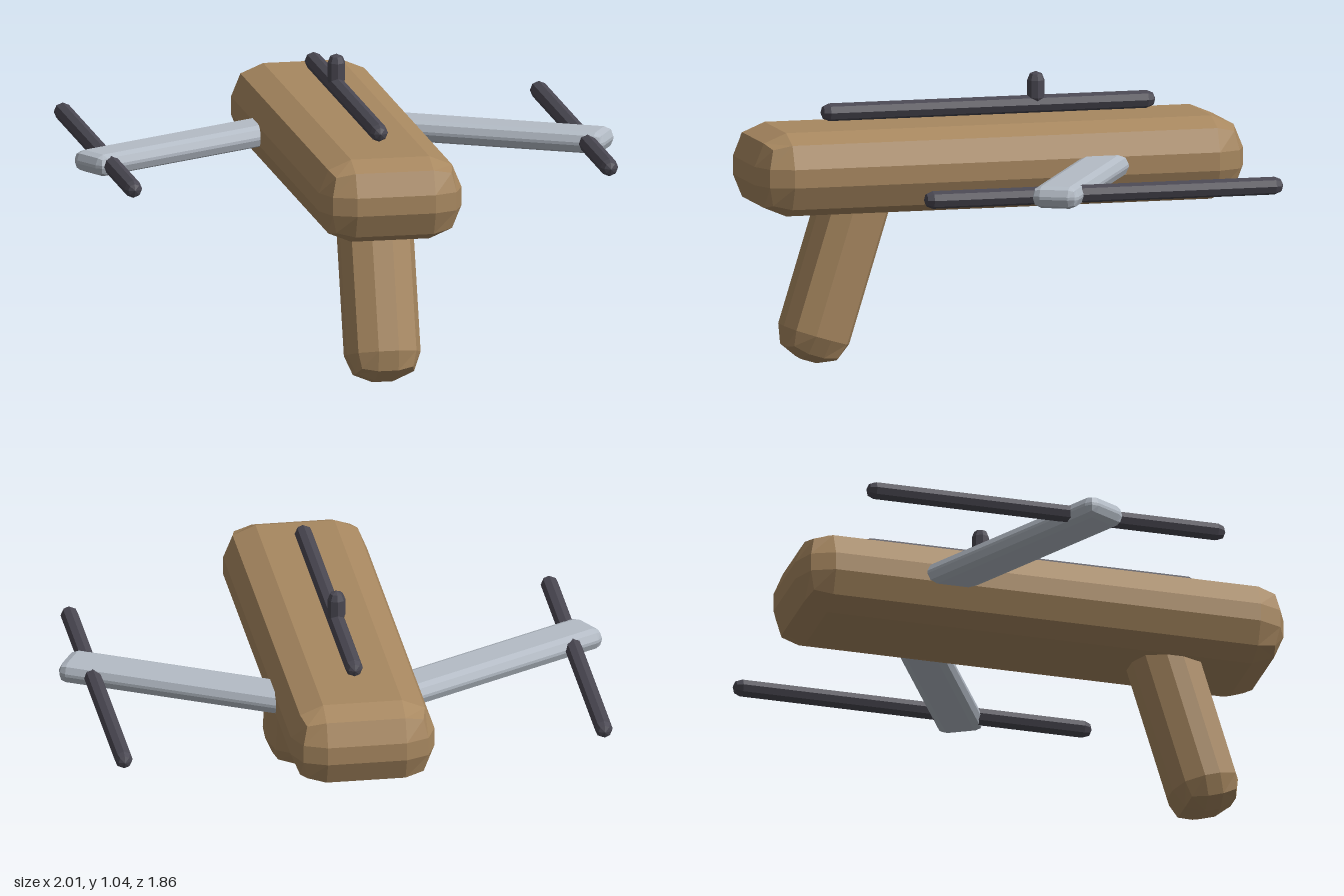
import * as THREE from 'three';
import { RoundedBoxGeometry } from 'three/addons/geometries/RoundedBoxGeometry.js';

const material = (color) => new THREE.MeshStandardMaterial({ color, flatShading: true });

export function createModel() {
  const model = new THREE.Group();
  const wood = material(0xa88860);
  const steel = material(0xb4bcc6);
  const dark = material(0x4a4852);

  const add = (name, geometry, mat, [x, y, z], [rx, ry] = [0, 0]) => {
    const mesh = new THREE.Mesh(geometry, mat);
    mesh.name = name;
    mesh.position.set(x, y, z);
    mesh.rotation.set(rx, ry, 0);
    model.add(mesh);
  };
  // Coarse softened block: one bevel segment gives two facets per edge
  const block = (w, h, d, r) => new RoundedBoxGeometry(w, h, d, 1, r);
  // Faceted round-ended rod of a given overall length
  const rod = (length, r = 0.033) => new THREE.CapsuleGeometry(r, length - 2 * r, 2, 8);

  // Wooden stock and slanted grip
  add('body', block(0.532, 0.308, 1.855, 0.12), wood, [0, 0.718, 0]);
  add('grip', block(0.275, 0.8, 0.26, 0.1), wood, [0, 0.391, 0.573], [-0.3, 0]);

  // Swept arms with a rod under each tip
  for (const [side, s] of [['left', 1], ['right', -1]]) {
    add(side + 'Arm', block(1.03, 0.081, 0.175, 0.035), steel,
      [s * 0.523, 0.717, -0.22], [0, -s * 0.5]);
    add(side + 'Rod', rod(1.365), dark, [s * 0.888, 0.718, -0.188], [Math.PI / 2, 0]);
  }

  // Rail above the stock with its small sight post
  add('topRail', rod(1.272), dark, [0, 0.92, 0], [Math.PI / 2, 0]);
  add('sightPost', rod(0.13), dark, [0, 0.976, -0.182]);

  return model;
}
